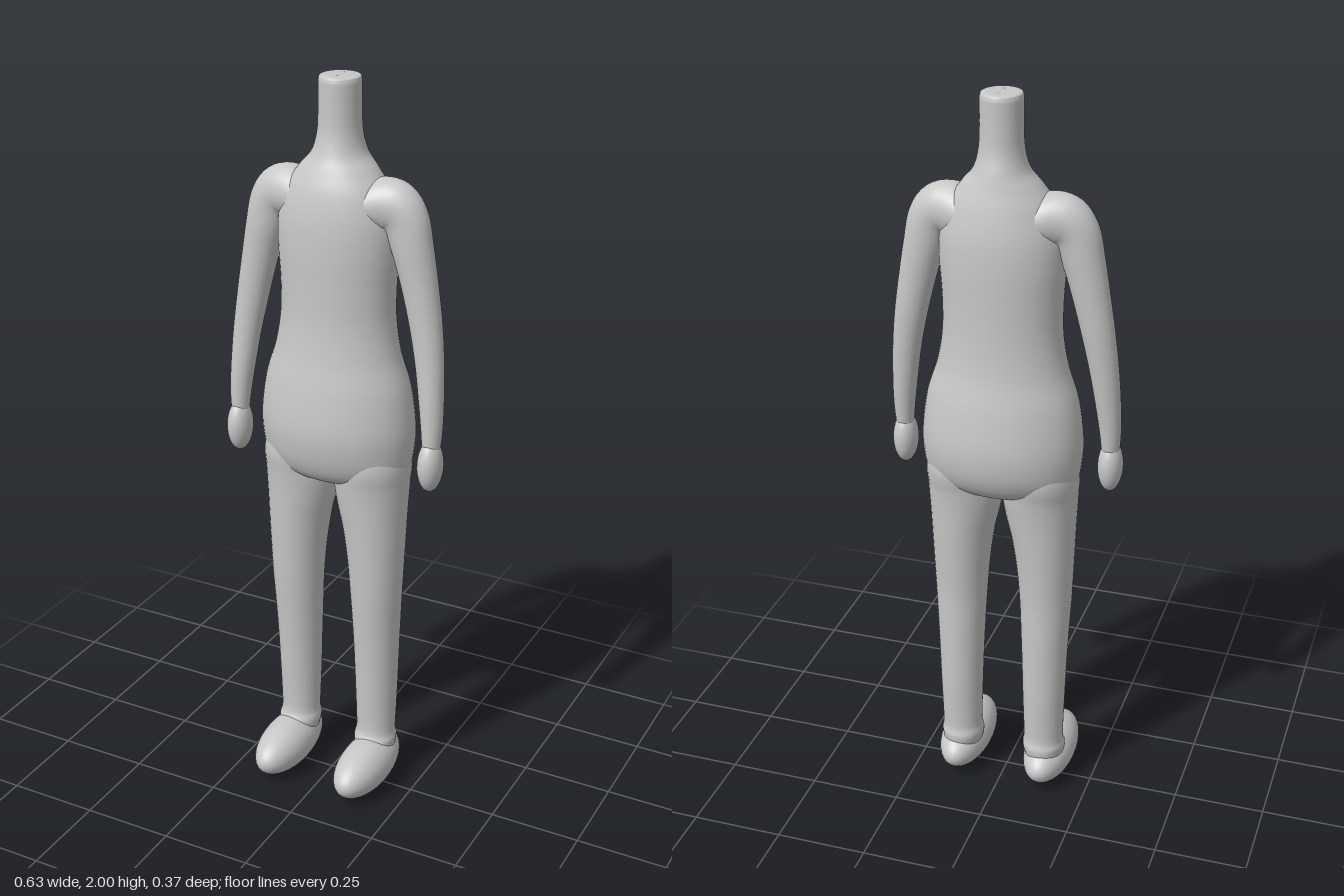
import * as THREE from 'three';

const bodyGrey = new THREE.MeshStandardMaterial({ color: 0xc8c8c8 });

// Smooth closed skin through oval sections [x, y, z, radius across, radius in z], listed from the top down
function loft(sections, side = 1, around = 40, steps = 6) {
  const centres = new THREE.CatmullRomCurve3(
    sections.map(([x, y, z]) => new THREE.Vector3(x * side, y, z)), false, 'catmullrom', 0.5);
  const radii = new THREE.CatmullRomCurve3(
    sections.map(s => new THREE.Vector3(s[3], s[4], 0)), false, 'catmullrom', 0.5);
  const rows = (sections.length - 1) * steps;
  const pos = [], idx = [];
  for (let i = 0; i <= rows; i++) {
    const t = i / rows;
    const c = centres.getPoint(t), r = radii.getPoint(t);
    const d = centres.getPoint(Math.min(1, t + 0.002)).sub(centres.getPoint(Math.max(0, t - 0.002)));
    const len = Math.hypot(d.x, d.y);
    const ux = -d.y / len, uy = d.x / len;
    for (let j = 0; j < around; j++) {
      const a = j / around * Math.PI * 2;
      const w = Math.cos(a) * Math.max(r.x, 0.001);
      pos.push(c.x + ux * w, c.y + uy * w, c.z + Math.sin(a) * Math.max(r.y, 0.001));
    }
  }
  for (let i = 0; i < rows; i++) for (let j = 0; j < around; j++) {
    const a = i * around + j, b = i * around + (j + 1) % around;
    idx.push(a, b, a + around, b, b + around, a + around);
  }
  const g = new THREE.BufferGeometry();
  g.setAttribute('position', new THREE.Float32BufferAttribute(pos, 3));
  g.setIndex(idx);
  g.computeVertexNormals();
  return g;
}

function ellipsoid(rx, ry, rz) {
  return new THREE.SphereGeometry(1, 40, 28).scale(rx, ry, rz);
}

export function createModel() {
  const model = new THREE.Group();
  model.name = 'mannequinBody';
  const add = (name, geometry, x = 0, y = 0, z = 0) => {
    const m = new THREE.Mesh(geometry, bodyGrey);
    m.name = name;
    m.position.set(x, y, z);
    model.add(m);
  };

  // Neck, chest, waist and hips as one skin
  add('torso', loft([
    [0, 2.0, -0.042, 0.001, 0.001], [0, 1.999, -0.042, 0.045, 0.047],
    [0, 1.99, -0.042, 0.053, 0.056], [0, 1.97, -0.042, 0.054, 0.057],
    [0, 1.92, -0.042, 0.054, 0.057], [0, 1.86, -0.042, 0.057, 0.06],
    [0, 1.81, -0.042, 0.071, 0.072], [0, 1.77, -0.038, 0.104, 0.085],
    [0, 1.72, -0.035, 0.138, 0.1], [0, 1.65, -0.035, 0.16, 0.112],
    [0, 1.57, -0.035, 0.163, 0.116], [0, 1.47, -0.035, 0.157, 0.115],
    [0, 1.38, -0.035, 0.158, 0.116], [0, 1.29, -0.034, 0.173, 0.124],
    [0, 1.2, -0.035, 0.201, 0.14], [0, 1.1, -0.036, 0.215, 0.151],
    [0, 1.03, -0.037, 0.213, 0.145], [0, 0.98, -0.036, 0.203, 0.128],
    [0, 0.95, -0.034, 0.175, 0.104], [0, 0.933, -0.034, 0.12, 0.07],
    [0, 0.925, -0.034, 0.001, 0.001],
  ], 1, 56));

  for (const [label, side] of [['left', 1], ['right', -1]]) {
    // Arm curving out of the shoulder and down to the wrist
    add(label + 'Arm', loft([
      [0.03, 1.69, -0.036, 0.03, 0.06], [0.09, 1.69, -0.036, 0.06, 0.075],
      [0.15, 1.688, -0.034, 0.072, 0.062], [0.186, 1.66, -0.033, 0.062, 0.053],
      [0.208, 1.59, -0.032, 0.054, 0.05], [0.229, 1.5, -0.032, 0.048, 0.045],
      [0.249, 1.4, -0.03, 0.043, 0.041], [0.265, 1.3, -0.024, 0.038, 0.037],
      [0.276, 1.2, -0.016, 0.033, 0.034], [0.282, 1.12, -0.01, 0.028, 0.03],
      [0.283, 1.05, -0.006, 0.022, 0.025],
    ], side));
    add(label + 'Hand', ellipsoid(0.033, 0.072, 0.043), side * 0.283, 1.023, -0.004);

    // Leg from inside the hip to the ankle
    add(label + 'Leg', loft([
      [0.108, 1.08, -0.036, 0.08, 0.1], [0.106, 1.0, -0.035, 0.1, 0.112],
      [0.103, 0.94, -0.033, 0.102, 0.104], [0.106, 0.88, -0.032, 0.097, 0.097],
      [0.113, 0.8, -0.031, 0.086, 0.09], [0.118, 0.7, -0.03, 0.077, 0.082],
      [0.12, 0.6, -0.03, 0.071, 0.075], [0.12, 0.5, -0.034, 0.066, 0.07],
      [0.12, 0.4, -0.037, 0.062, 0.065], [0.12, 0.3, -0.039, 0.059, 0.061],
      [0.12, 0.2, -0.039, 0.056, 0.055], [0.12, 0.155, -0.038, 0.055, 0.055],
      [0.12, 0.13, -0.035, 0.059, 0.064], [0.122, 0.1, -0.03, 0.055, 0.066],
    ], side));
    add(label + 'Foot', ellipsoid(0.07, 0.071, 0.157), side * 0.125, 0.071, 0.028);
  }
  return model;
}
